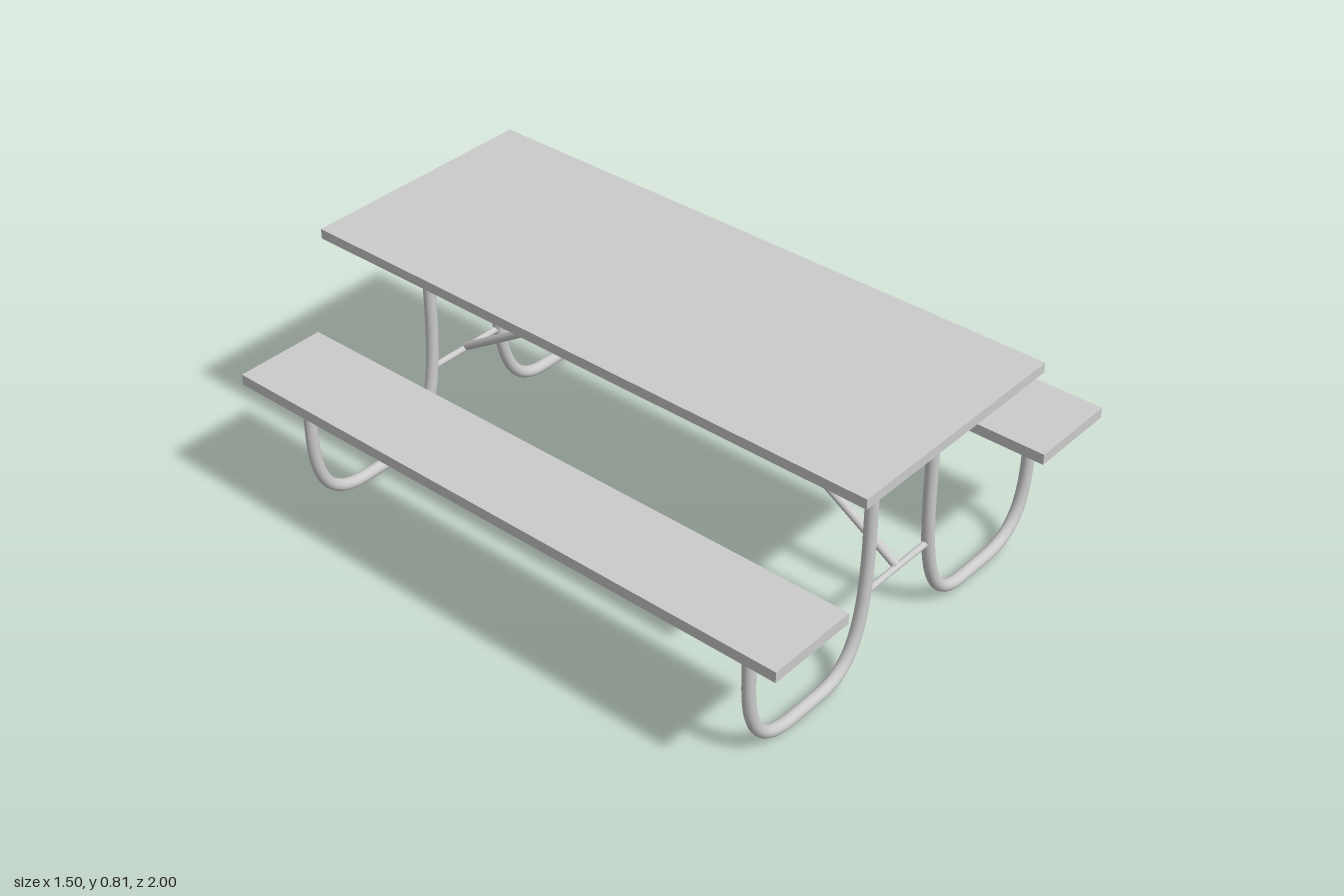
import * as THREE from 'three';

const material = new THREE.MeshStandardMaterial({ color: 0xcccccc });
const v = (x, y, z = 0) => new THREE.Vector3(x, y, z);

function board(name, width, height, x, y) {
  const mesh = new THREE.Mesh(new THREE.BoxGeometry(width, height, 2), material);
  mesh.name = name;
  mesh.position.set(x, y, 0);
  return mesh;
}

// Straight round bar between two points
function bar(name, a, b, radius) {
  const dir = b.clone().sub(a);
  const mesh = new THREE.Mesh(new THREE.CylinderGeometry(radius, radius, dir.length(), 16), material);
  mesh.name = name;
  mesh.position.copy(a).add(b).multiplyScalar(0.5);
  mesh.quaternion.setFromUnitVectors(v(0, 1), dir.normalize());
  return mesh;
}

// Bent pipe running from the table, along the ground, and up to the bench
function legGeometry(side) {
  const p = (x, y) => v(side * x, y);
  const path = new THREE.CurvePath();
  path.add(new THREE.LineCurve3(p(0.137, 0.785), p(0.139, 0.42)));
  path.add(new THREE.CubicBezierCurve3(p(0.139, 0.42), p(0.145, 0.15), p(0.19, 0.02), p(0.335, 0.02)));
  path.add(new THREE.LineCurve3(p(0.335, 0.02), p(0.455, 0.02)));
  path.add(new THREE.CubicBezierCurve3(p(0.455, 0.02), p(0.6, 0.02), p(0.648, 0.11), p(0.648, 0.28)));
  path.add(new THREE.LineCurve3(p(0.648, 0.28), p(0.648, 0.445)));
  return new THREE.TubeGeometry(path, 80, 0.0195, 16);
}

export function createModel() {
  const group = new THREE.Group();
  group.name = 'picnicTable';

  // Table top and benches
  group.add(board('tableTop', 0.8, 0.032, 0, 0.796));
  group.add(board('leftBench', 0.3, 0.035, 0.6, 0.4575));
  group.add(board('rightBench', 0.3, 0.035, -0.6, 0.4575));

  for (const end of [1, -1]) {
    const label = end > 0 ? 'front' : 'back';
    const z = end * 0.835;

    // Pair of bent legs
    for (const side of [1, -1]) {
      const leg = new THREE.Mesh(legGeometry(side), material);
      leg.name = label + (side > 0 ? 'LeftLeg' : 'RightLeg');
      leg.position.z = z;
      group.add(leg);
    }

    // Crossbar between the legs, and diagonal brace up to the table centre
    group.add(bar(label + 'Crossbar', v(-0.14, 0.263, z), v(0.14, 0.263, z), 0.0105));
    group.add(bar(label + 'Brace', v(0, 0.267, z), v(-0.004, 0.787, end * 0.012), 0.0135));
  }
  return group;
}
